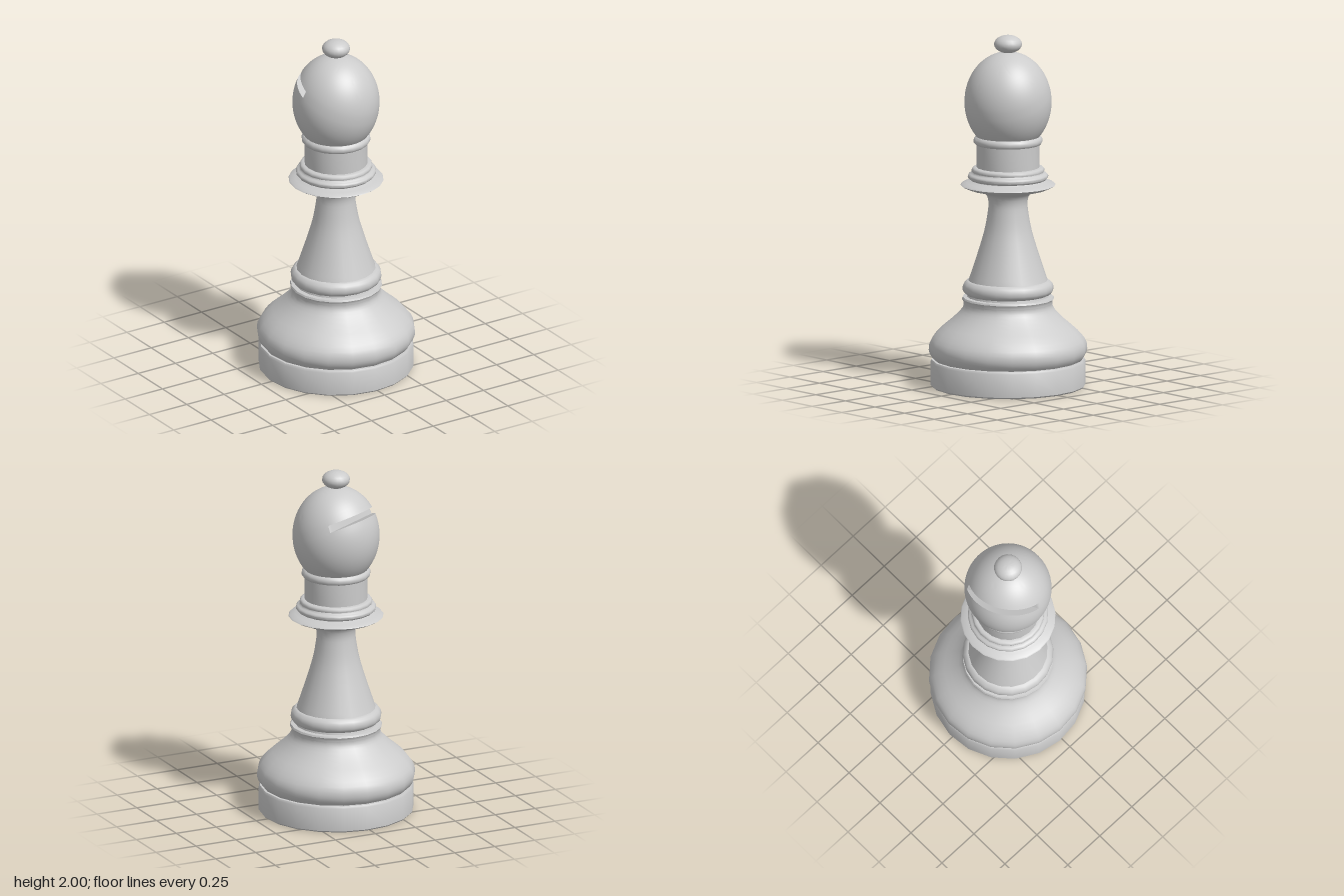
import * as THREE from 'three';
import { toCreasedNormals } from 'three/addons/utils/BufferGeometryUtils.js';

const SIDES = 20;
const START = -0.045;
const material = new THREE.MeshStandardMaterial({ color: 0xcccccc });

// Turned part from [radius, height] pairs, bottom to top
function turned(name, profile) {
  const points = profile.map(([r, y]) => new THREE.Vector2(r, y));
  const geometry = new THREE.LatheGeometry(points, SIDES, START);
  const mesh = new THREE.Mesh(toCreasedNormals(geometry, 0.65), material);
  mesh.name = name;
  return mesh;
}

// Smooth run of profile points through a few key points
function smooth(keys, count) {
  const curve = new THREE.SplineCurve(keys.map(([r, y]) => new THREE.Vector2(r, y)));
  return curve.getPoints(count).map((p) => [p.x, p.y]);
}

// Egg-shaped head: a unit ball whose poles face the slot's plane, so the slot
// lies between two rings; those rings are flattened to form the slot floor.
function slottedHead() {
  const low = Math.asin(0.13), high = Math.asin(0.28), floor = 0.5;
  const rings = [];
  const arc = (from, to, steps, cut) => {
    for (let i = 0; i <= steps; i++) {
      rings.push({ angle: from + ((to - from) * i) / steps, cut });
    }
  };
  arc(-Math.PI / 2, low, 18, false);
  arc(low, high, 1, true);
  arc(high, Math.PI / 2, 14, false);

  const points = rings.map(
    ({ angle }) => new THREE.Vector2(Math.max(0, Math.cos(angle)), Math.sin(angle)));
  const geometry = new THREE.LatheGeometry(points, 72);
  const position = geometry.attributes.position;
  for (let i = 0; i < position.count; i++) {
    if (rings[i % rings.length].cut) position.setZ(i, Math.max(position.getZ(i), -floor));
  }
  geometry.rotateX(0.38);
  geometry.scale(0.245, 0.285, 0.245);
  geometry.rotateY(Math.PI / 6);
  geometry.translate(0, 1.62, 0);
  const mesh = new THREE.Mesh(toCreasedNormals(geometry, 0.6), material);
  mesh.name = 'slottedHead';
  return mesh;
}

export function createModel() {
  const model = new THREE.Group();
  model.name = 'chessBishop';

  // Base
  model.add(turned('plinth', [
    [0, 0], [0.43, 0], [0.437, 0.008], [0.437, 0.14], [0.43, 0.152], [0.4, 0.152],
  ]));
  model.add(turned('bell', [
    [0.4, 0.152],
    ...smooth([[0.42, 0.155], [0.438, 0.18], [0.446, 0.215], [0.435, 0.26],
      [0.39, 0.315], [0.32, 0.375], [0.27, 0.425], [0.252, 0.455], [0.25, 0.48]], 18),
    [0.26, 0.498], [0.255, 0.508], [0.23, 0.51], [0.225, 0.53],
  ]));
  model.add(turned('bellRing', [
    [0.22, 0.518],
    ...smooth([[0.232, 0.522], [0.25, 0.535], [0.256, 0.56], [0.248, 0.585], [0.228, 0.602]], 8),
    [0.2, 0.602],
  ]));

  // Stem flaring into the thin disc
  model.add(turned('stem', smooth([[0.224, 0.598], [0.19, 0.7], [0.158, 0.8],
    [0.13, 0.9], [0.113, 1.0], [0.11, 1.05], [0.122, 1.09], [0.15, 1.108]], 18)));
  model.add(turned('disc', [
    [0.14, 1.104], [0.18, 1.115], [0.225, 1.126], [0.255, 1.139], [0.268, 1.147],
    [0.262, 1.153], [0.23, 1.16], [0.2, 1.172], [0.19, 1.19],
  ]));

  // Collar
  model.add(turned('collarRing', [
    [0.19, 1.176],
    ...smooth([[0.215, 1.178], [0.226, 1.19], [0.224, 1.205], [0.208, 1.215]], 6),
    ...smooth([[0.203, 1.222], [0.205, 1.235], [0.196, 1.246], [0.178, 1.249]], 5),
  ]));
  model.add(turned('collar', [[0.178, 1.24], [0.178, 1.385]]));
  model.add(turned('neckRing', [
    [0.176, 1.378],
    ...smooth([[0.186, 1.38], [0.194, 1.392], [0.192, 1.412], [0.18, 1.424]], 6),
    [0.15, 1.425],
  ]));

  // Head and finial
  model.add(slottedHead());
  const ball = [];
  for (let i = 0; i <= 12; i++) {
    const a = -Math.PI / 2 + (Math.PI * i) / 12;
    ball.push([Math.max(0, 0.079 * Math.cos(a)), 1.949 + 0.051 * Math.sin(a)]);
  }
  model.add(turned('finial', ball));

  return model;
}
